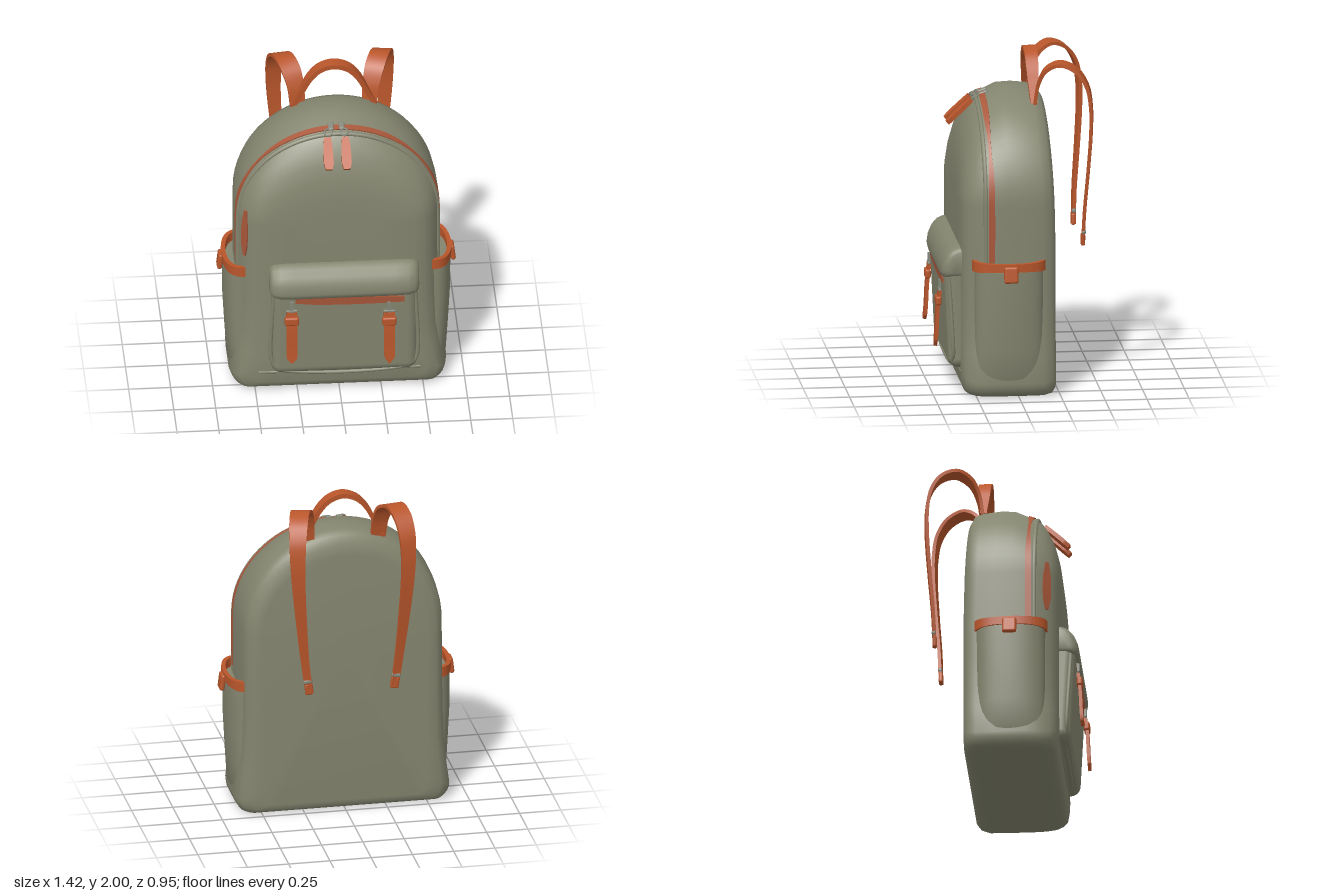
import * as THREE from 'three';
import { toCreasedNormals } from 'three/addons/utils/BufferGeometryUtils.js';
import { RoundedBoxGeometry } from 'three/addons/geometries/RoundedBoxGeometry.js';

const V = (x, y, z) => new THREE.Vector3(x, y, z);
const material = (name, color) => {
  const m = new THREE.MeshStandardMaterial({ color });
  m.name = name;
  return m;
};

// Closed solid through rings of equal point count, with fan caps; always wound outwards
function loft(rings, crease = 0.9) {
  const n = rings[0].length, pts = rings.flat(), idx = [];
  for (let r = 0; r < rings.length - 1; r++) {
    for (let i = 0; i < n; i++) {
      const a = r * n + i, b = r * n + (i + 1) % n;
      idx.push(a, b, b + n, a, b + n, a + n);
    }
  }
  [0, rings.length - 1].forEach((r, end) => {
    const c = pts.length;
    const mid = V(0, 0, 0);
    rings[r].forEach(p => mid.addScaledVector(p, 1 / n));
    pts.push(mid);
    for (let i = 0; i < n; i++) {
      const a = r * n + i, b = r * n + (i + 1) % n;
      if (end) idx.push(c, a, b); else idx.push(c, b, a);
    }
  });
  let volume = 0;
  for (let i = 0; i < idx.length; i += 3) {
    volume += pts[idx[i]].dot(V(0, 0, 0).crossVectors(pts[idx[i + 1]], pts[idx[i + 2]]));
  }
  if (volume < 0) idx.reverse();
  const g = new THREE.BufferGeometry().setFromPoints(pts);
  g.setIndex(idx);
  return toCreasedNormals(g, crease);
}

// Flat leather band swept along a path; widths are spread evenly over the path
function band(path, widths, thickness, across, steps = 40) {
  const curve = new THREE.CatmullRomCurve3(path);
  const rings = [];
  for (let i = 0; i <= steps; i++) {
    const t = i / steps, p = curve.getPoint(t), tan = curve.getTangent(t);
    const w = across.clone().addScaledVector(tan, -across.dot(tan)).normalize();
    const n = V(0, 0, 0).crossVectors(tan, w).multiplyScalar(thickness / 2);
    const f = t * (widths.length - 1), k = Math.min(Math.floor(f), widths.length - 2);
    w.multiplyScalar(THREE.MathUtils.lerp(widths[k], widths[k + 1], f - k) / 2);
    rings.push([[1, 1], [-1, 1], [-1, -1], [1, -1]].map(([a, b]) =>
      p.clone().addScaledVector(w, a).addScaledVector(n, b)));
  }
  return loft(rings);
}

// Body stations: z, half width at the shoulder, half width at the base, top, bottom
const stations = [
  [-0.23, 0.5, 0.5, 1.62, 0.06], [-0.225, 0.55, 0.58, 1.69, 0.03], [-0.2, 0.585, 0.62, 1.74, 0.008],
  [-0.15, 0.6, 0.645, 1.76, 0], [-0.05, 0.608, 0.65, 1.77, 0], [0.06, 0.61, 0.65, 1.765, 0],
  [0.14, 0.607, 0.65, 1.725, 0], [0.18, 0.602, 0.645, 1.71, 0], [0.21, 0.59, 0.64, 1.685, 0],
  [0.25, 0.572, 0.63, 1.63, 0.002], [0.29, 0.542, 0.61, 1.54, 0.01], [0.315, 0.505, 0.585, 1.44, 0.025],
  [0.33, 0.45, 0.53, 1.32, 0.06], [0.335, 0.3, 0.35, 1.2, 0.2],
];
const SHOULDER = 1.15;

// Arched outline of the body at one station, flaring only near the base
function outline([z, wTop, wBase, top, bottom]) {
  const pts = [], r = 0.09;
  const lean = y => z < 0 ? z + 0.035 * Math.max(0, y - 1) : z;
  const add = (x, y) => pts.push(V(x, y, lean(y)));
  for (let i = 0; i <= 32; i++) {
    const a = Math.PI * i / 32;
    add(wTop * Math.cos(a), SHOULDER + (top - SHOULDER) * Math.sin(a));
  }
  const half = [[0.9, 0], [0.6, 0.08], [0.4, 0.2], [0.26, 0.5]].map(([y, k]) =>
    [THREE.MathUtils.lerp(wTop, wBase, k), y]);
  for (let i = 0; i <= 5; i++) {
    const a = Math.PI / 2 * i / 5;
    half.push([wBase - r * 0.8 * (1 - Math.cos(a)), bottom + r * (1 - Math.sin(a))]);
  }
  half.forEach(([x, y]) => add(-x, y));
  half.reverse().forEach(([x, y]) => add(x, y));
  return pts;
}

// Path over the arch of the body at depth z, ending at the side pockets
function archPath(z, w, top, low) {
  const pts = [V(w, low, z)];
  for (let i = 0; i <= 24; i++) {
    const a = Math.PI * i / 24;
    pts.push(V(w * Math.cos(a), SHOULDER + (top - SHOULDER) * Math.sin(a), z));
  }
  pts.push(V(-w, low, z));
  return pts;
}

export function createModel() {
  const canvas = material('olive canvas', 0x84856f);
  const leather = material('tan leather', 0xb9562b);
  const zipTape = material('brown zip tape', 0xa9573a);
  const metal = material('grey metal', 0x85887a);
  const model = new THREE.Group();
  model.name = 'backpack';
  const add = (name, geometry, mat, x = 0, y = 0, z = 0, rx = 0, rz = 0) => {
    const mesh = new THREE.Mesh(geometry, mat);
    mesh.name = name;
    mesh.position.set(x, y, z);
    mesh.rotation.set(rx, 0, rz);
    model.add(mesh);
    return mesh;
  };
  const rounded = (w, h, d, r) => new RoundedBoxGeometry(w, h, d, 4, r);
  const tube = (pts, r) => new THREE.TubeGeometry(new THREE.CatmullRomCurve3(pts), 80, r, 8);

  // Main bag; the zip narrows at the shoulders and sits behind the front piping
  add('body', loft(stations.map(outline), 1.2), canvas);
  const zipSide = [0.036, 0.036, 0.036, 0.03, 0.018, 0.016, 0.026, 0.034];
  const zipWidths = [...zipSide, 0.036, 0.036, 0.036, 0.036, 0.036, ...zipSide.slice().reverse()];
  add('mainZip', band(archPath(0.16, 0.605, 1.72, 0.82), zipWidths, 0.009, V(0, -0.35, 1), 90), zipTape);
  add('frontPiping', tube(archPath(0.195, 0.593, 1.697, 0.3), 0.014), canvas);
  add('zipFold', band([V(-0.562, 0.92, 0.27), V(-0.562, 1.06, 0.27), V(-0.555, 1.23, 0.27)],
    [0.02, 0.05, 0.055, 0.05, 0.02], 0.009, V(0.6, 0, 0.8)), zipTape);
  add('baseSeam', tube([V(-0.48, 0.13, 0.325), V(0, 0.13, 0.334), V(0.48, 0.13, 0.325)], 0.01), canvas);

  // Front pocket with zip
  add('frontPocket', rounded(0.87, 0.66, 0.14, 0.06), canvas, 0.025, 0.475, 0.345, 0.05);
  add('pocketPiping', tube([V(-0.4, 0.7, 0.4), V(-0.4, 0.22, 0.375), V(-0.35, 0.175, 0.378),
    V(0.4, 0.175, 0.378), V(0.45, 0.22, 0.375), V(0.45, 0.7, 0.4)], 0.012), canvas);
  add('pocketZip', band([V(-0.27, 0.682, 0.43), V(0, 0.676, 0.43), V(0.38, 0.67, 0.43)],
    [0.03, 0.05, 0.055, 0.055, 0.05, 0.035], 0.009, V(0, 1, 0.05)), zipTape);

  // Flap with a sloping top, drawn in at both ends
  const flapProfile = [[0.3, 0.7], [0.42, 0.695], [0.443, 0.703], [0.449, 0.73], [0.441, 0.785],
    [0.42, 0.835], [0.388, 0.872], [0.345, 0.89], [0.3, 0.885]];
  const flapEnds = [[-0.445, 0.65], [-0.438, 0.8], [-0.42, 0.91], [-0.38, 0.98], [-0.3, 1]];
  const flapStations = [...flapEnds, ...flapEnds.map(([x, k]) => [-x, k]).reverse()];
  add('pocketFlap', loft(flapStations.map(([x, k]) => flapProfile.map(([z, y]) =>
    V(x + 0.025, 0.79 + (y - 0.79) * k, 0.3 + (z - 0.3) * k))), 1.1), canvas);

  // Buckled straps on the front pocket
  for (const [x, top] of [[-0.293, 0.61], [0.288, 0.585]]) {
    add('pocketStrap', band([V(x, top, 0.438), V(x, 0.5, 0.45), V(x, 0.35, 0.458), V(x, top - 0.335, 0.465)],
      [0.065, 0.065, 0.065, 0.065, 0.065, 0.065, 0.065, 0.06, 0.01], 0.02, V(1, 0, 0)), leather);
    add('strapBuckle', rounded(0.085, 0.055, 0.035, 0.012), leather, x, top - 0.055, 0.448);
    add('strapClip', new THREE.BoxGeometry(0.02, 0.07, 0.015), metal, x, top + 0.035, 0.438);
    add('strapHook', rounded(0.07, 0.014, 0.016, 0.005), metal, x, top + 0.01, 0.44);
  }

  // Zip pulls
  for (const x of [-0.064, 0.043]) {
    add('zipSlider', rounded(0.035, 0.025, 0.06, 0.01), metal, x * 0.6, 1.722, 0.15, 0.3);
    add('zipRing', new THREE.TorusGeometry(0.022, 0.006, 6, 16), metal, x * 0.9, 1.708, 0.195, -0.9);
    add('zipPull', band([V(x, 1.688, 0.222), V(x, 1.616, 0.3), V(x, 1.552, 0.366)],
      [0.04, 0.05, 0.055, 0.058, 0.058, 0.04], 0.026, V(1, 0, 0)), leather);
  }

  // Carrying handle, narrower where it meets the bag
  const gripHalf = [[0.245, 1.7], [0.215, 1.76], [0.185, 1.82], [0.145, 1.895], [0.085, 1.958]];
  const grip = [...gripHalf.map(([x, y]) => V(x, y, -0.13)), V(0, 1.985, -0.128),
    ...gripHalf.map(([x, y]) => V(-x, y, -0.13)).reverse()];
  add('carryHandle', band(grip, [0.04, 0.05, 0.065, 0.075, 0.078, 0.078, 0.075, 0.065, 0.05, 0.04],
    0.028, V(0, 0, 1), 60), leather);

  for (const s of [1, -1]) {
    // Shoulder strap with its end fitting
    const strap = [[0.215, 1.7, -0.14], [0.225, 1.82, -0.16], [0.25, 1.91, -0.205], [0.286, 1.95, -0.285],
      [0.315, 1.912, -0.378], [0.331, 1.82, -0.438], [0.335, 1.7, -0.46], [0.33, 1.55, -0.462],
      [0.31, 1.3, -0.447], [0.285, 1.05, -0.428], [0.258, 0.84, -0.42]].map(([x, y, z]) => V(s * x, y, z));
    add('shoulderStrap', band(strap, [0.09, 0.1, 0.115, 0.115, 0.11, 0.1, 0.09, 0.08, 0.065, 0.05, 0.045],
      0.02, V(1, 0, s * 0.15), 70), leather);
    add('strapEndRing', rounded(0.054, 0.025, 0.024, 0.008), metal, s * 0.268, 0.92, -0.424, 0, -s * 0.12);
    add('strapEndTab', rounded(0.05, 0.07, 0.026, 0.01), leather, s * 0.26, 0.87, -0.42, 0, -s * 0.12);

    // Side pocket with leather rim and buckle
    const bulge = (y, reach) => Array.from({ length: 25 }, (_, i) => {
      const a = Math.PI * i / 24;
      return V(s * (0.54 + (reach - 0.54) * Math.pow(Math.abs(Math.sin(a)), 0.6)), y, 0.055 + 0.207 * Math.cos(a));
    });
    add('sidePocket', loft([[0.07, 0.63], [0.12, 0.652], [0.3, 0.664], [0.55, 0.678], [0.775, 0.68]]
      .map(([y, reach]) => bulge(y, reach))), canvas);
    add('sidePocketRim', band(bulge(0.802, 0.672), [0.065, 0.06, 0.05, 0.05, 0.05, 0.06, 0.065],
      0.026, V(0, 1, 0), 72), leather);
    add('sideBuckle', rounded(0.03, 0.1, 0.085, 0.014), leather, s * 0.692, 0.765, 0.055, 0, s * 0.12);
  }
  return model;
}
